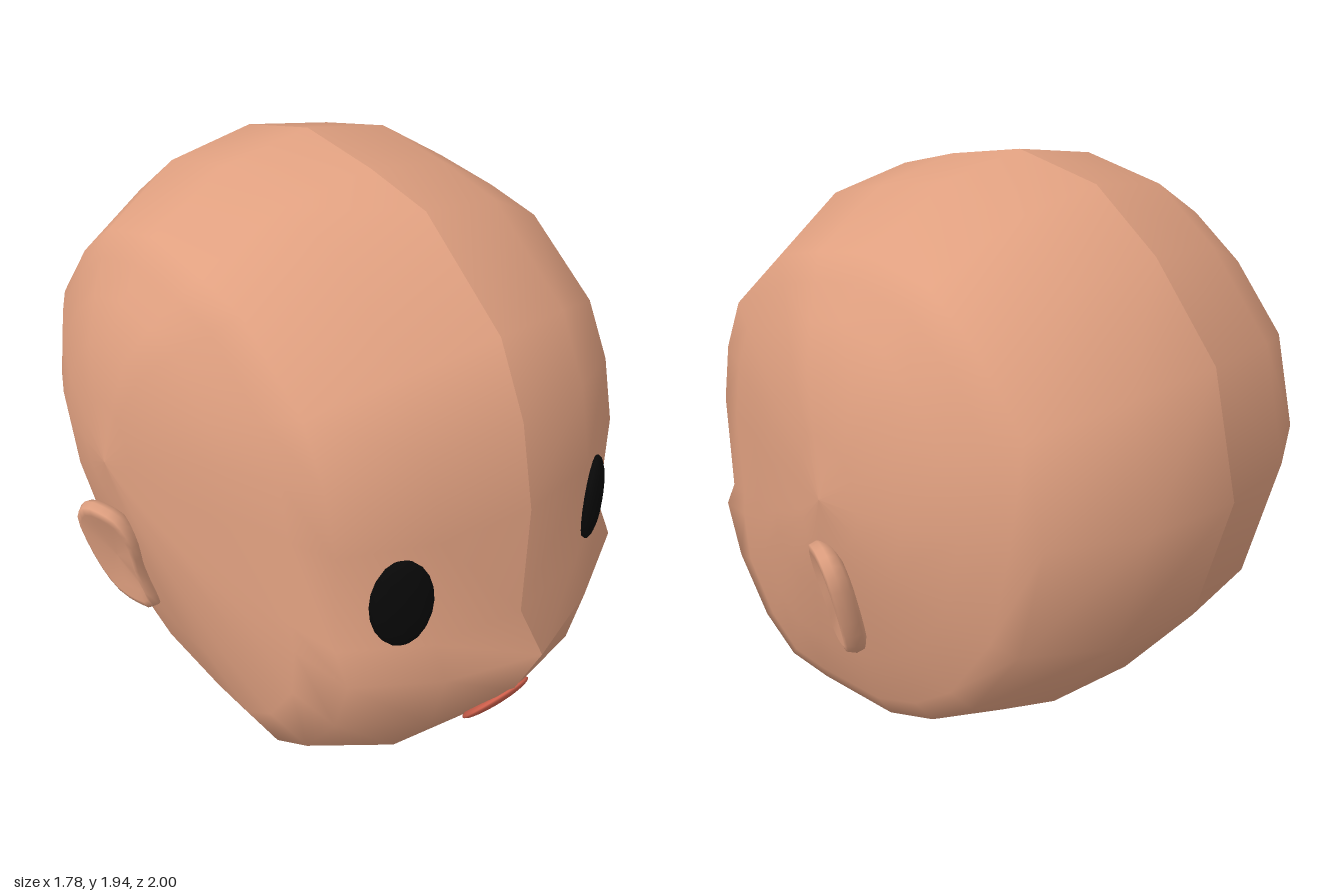
import * as THREE from 'three';

const skin = new THREE.MeshStandardMaterial({ color: 0xe0a080 });
const black = new THREE.MeshStandardMaterial({ color: 0x080808 });
const red = new THREE.MeshStandardMaterial({ color: 0xd0604c });

// Skin a stack of closed rings; side = -1 mirrors the surface in x.
function loft(rings, side) {
  const n = rings[0].length, pos = [], idx = [];
  for (const ring of rings) for (const [x, y, z] of ring) pos.push(x * side, y, z);
  for (let i = 0; i < rings.length - 1; i++) {
    for (let j = 0; j < n; j++) {
      const k = (j + 1) % n;
      const a = i * n + j, b = i * n + k, c = a + n, d = b + n;
      if (side > 0) idx.push(a, b, c, b, d, c);
      else idx.push(a, c, b, b, c, d);
    }
  }
  const g = new THREE.BufferGeometry();
  g.setAttribute('position', new THREE.Float32BufferAttribute(pos, 3));
  g.setIndex(idx);
  g.computeVertexNormals();
  return g;
}

// Middle outline of the head as [z, y], from the crown over the face and round the back
const profile = [
  [-0.13, 1.94], [0.17, 1.885], [0.41, 1.82], [0.73, 1.54], [0.84, 1.31], [0.9, 1.04],
  [0.9, 0.66], [1.0, 0.55], [0.9, 0.33], [0.73, 0.11], [0.54, 0], [0.3, 0],
  [-0.13, 0.04], [-0.4, 0.14], [-0.64, 0.3], [-0.89, 0.62], [-1.0, 1.05],
  [-0.9, 1.44], [-0.67, 1.71], [-0.44, 1.88],
];
const noseTip = 7;

// Half-width slices: [x, up, down, front, back] scales of the outline about its middle,
// then how far the nose tip sinks back into the face
const slices = [
  [0, 1, 1, 1, 1, 0],
  [0.32, 0.94, 0.98, 0.95, 0.945, 0.045],
  [0.595, 0.765, 0.885, 0.82, 0.78, 0.03],
  [0.645, 0.68, 0.80, 0.68, 0.69, 0.08],
  [0.71, 0.57, 0.60, 0.49, 0.54, 0.1],
  [0.775, 0.43, 0.35, 0.30, 0.35, 0.1],
  [0.805, 0.22, 0.17, 0.12, 0.18, 0.1],
  [0.828, 0, 0, 0, 0, 0.1],
];
const midY = 1.04, midZ = -0.13;

function headHalf(side) {
  const rings = slices.map(([x, up, down, front, back, sink]) => profile.map(([z, y], i) => {
    const dy = y - midY, dz = z - midZ - (i === noseTip ? sink : 0);
    return [x, midY + dy * (dy > 0 ? up : down), midZ + dz * (dz > 0 ? front : back)];
  }));
  return loft(rings, side);
}

// Ear outline as [distance back, height], thickened to a rim with a dished middle
function ear(side) {
  const pts = [
    [0, 0.76], [0.08, 0.62], [0.03, 0.49], [0.4, 0.46], [0.8, 0.52],
    [0.97, 0.65], [1, 0.8], [0.8, 0.88], [0.4, 0.89], [0.1, 0.85],
  ].map(([u, y]) => new THREE.Vector3(u, y, 0));
  const outline = new THREE.CatmullRomCurve3(pts, true).getPoints(24).slice(0, 24);
  const section = [[0, -0.05], [0.8, -0.05], [0.95, -0.035], [1, -0.005], [0.95, 0.022], [0.83, 0.028], [0.64, 0.01], [0, 0.005]];
  const rings = section.map(([s, t]) => outline.map((p) => {
    const u = 0.5 + (p.x - 0.5) * s, y = 0.677 + (p.y - 0.677) * s;
    return [0.712 + 0.24 * (y - 0.46) + 0.075 * u + t * 0.85, y, -0.03 - 0.2 * u + t * 0.4];
  }));
  return loft(rings, side);
}

export function createModel() {
  const model = new THREE.Group();
  const add = (name, geometry, material, x = 0, y = 0, z = 0) => {
    const mesh = new THREE.Mesh(geometry, material);
    mesh.name = name;
    mesh.position.set(x, y, z);
    model.add(mesh);
    return mesh;
  };

  for (const side of [1, -1]) {
    const label = side > 0 ? 'left' : 'right';
    // Each half has its own normals, leaving a soft crease down the middle
    add(label + 'HeadHalf', headHalf(side), skin, 0.015);
    add(label + 'Ear', ear(side), skin);

    // Flattened oval eye turned to follow the face
    const eye = add(label + 'Eye', new THREE.SphereGeometry(1, 12, 10), black, 0.003 + side * 0.42, 0.862, 0.815);
    eye.scale.set(0.097, 0.153, 0.035);
    eye.rotation.y = side * 0.5;
  }

  // Oval mouth lying on the slope of the chin
  const mouth = add('mouth', new THREE.SphereGeometry(1, 24, 12), red, 0.015, 0.248, 0.832);
  mouth.scale.set(0.13, 0.122, 0.022);
  mouth.rotation.x = 0.66;

  return model;
}
